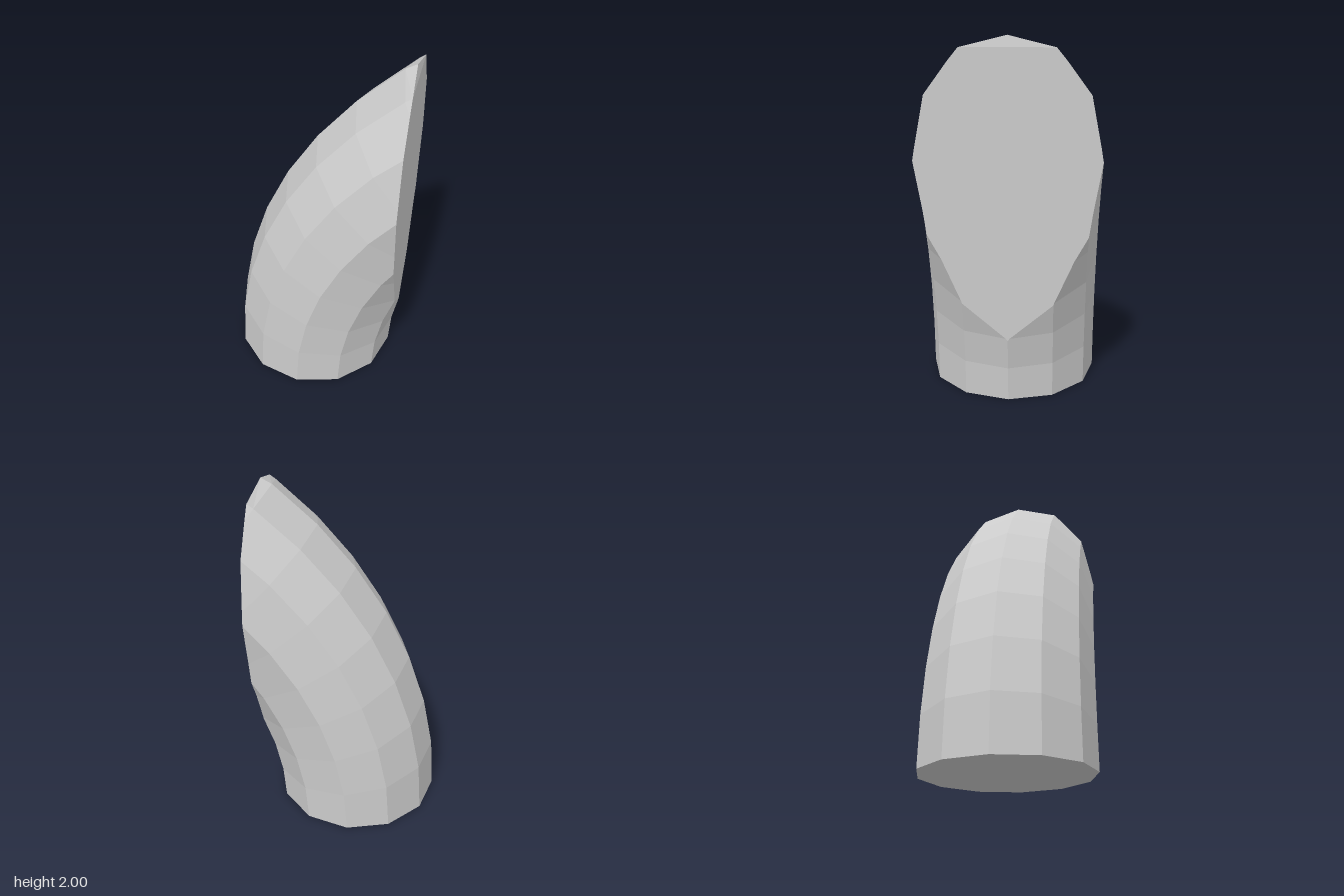
import * as THREE from 'three';

const SIDES = 12, ROWS = 8;
const STEP = THREE.MathUtils.degToRad(7.42);
const BEND = 2.007, TUBE = 0.493, AXIS = 1.983; // bend radius, pipe radius, bend centre x
const CUT = 0.517; // vertical cutting plane
const TIP = new THREE.Vector3(0.503, 2, 0);

// Corner of the bent pipe: row along the bend, side around the section
function corner(row, side) {
  const b = ((side % SIDES) / SIDES) * Math.PI * 2;
  const r = BEND + TUBE * Math.cos(b);
  return new THREE.Vector3(AXIS - r * Math.cos(row * STEP), r * Math.sin(row * STEP), TUBE * Math.sin(b));
}

// Trims a polygon at the cutting plane; also returns the cut edge
function trim(poly) {
  const kept = [];
  let leave = null, enter = null;
  poly.forEach((p, k) => {
    const q = poly[(k + 1) % poly.length];
    const inP = p.x <= CUT, inQ = q.x <= CUT;
    if (inP) kept.push(p);
    if (inP !== inQ) {
      let c = p.clone().lerp(q, (CUT - p.x) / (q.x - p.x));
      if (c.y > 1.97) c = TIP.clone(); // slightly blunted tip
      kept.push(c);
      if (inP) leave = c; else enter = c;
    }
  });
  return { kept, leave, enter };
}

function meshFrom(name, points, material) {
  const geometry = new THREE.BufferGeometry().setFromPoints(points);
  geometry.computeVertexNormals();
  const mesh = new THREE.Mesh(geometry, material);
  mesh.name = name;
  return mesh;
}

export function createModel() {
  const group = new THREE.Group();
  group.name = 'cutPipeBend';
  const material = new THREE.MeshStandardMaterial({ color: 0xcccccc, flatShading: true });
  const wall = [], cutFace = [], base = [];
  const hub = new THREE.Vector3(CUT, 1.94, 0);
  const baseCentre = new THREE.Vector3(AXIS - BEND, 0, 0);

  for (let j = 0; j < SIDES; j++) {
    // Curved wall, trimmed panel by panel, and the flat face closing the cut
    for (let i = 0; i < ROWS; i++) {
      const { kept, leave, enter } = trim([corner(i, j), corner(i, j + 1), corner(i + 1, j + 1), corner(i + 1, j)]);
      for (let k = 1; k + 1 < kept.length; k++) wall.push(kept[0], kept[k], kept[k + 1]);
      if (leave && enter) cutFace.push(hub, enter, leave);
    }
    // Flat base
    base.push(baseCentre, corner(0, j + 1), corner(0, j));
  }

  group.add(
    meshFrom('pipeWall', wall, material),
    meshFrom('cutFace', cutFace, material),
    meshFrom('base', base, material)
  );
  return group;
}
